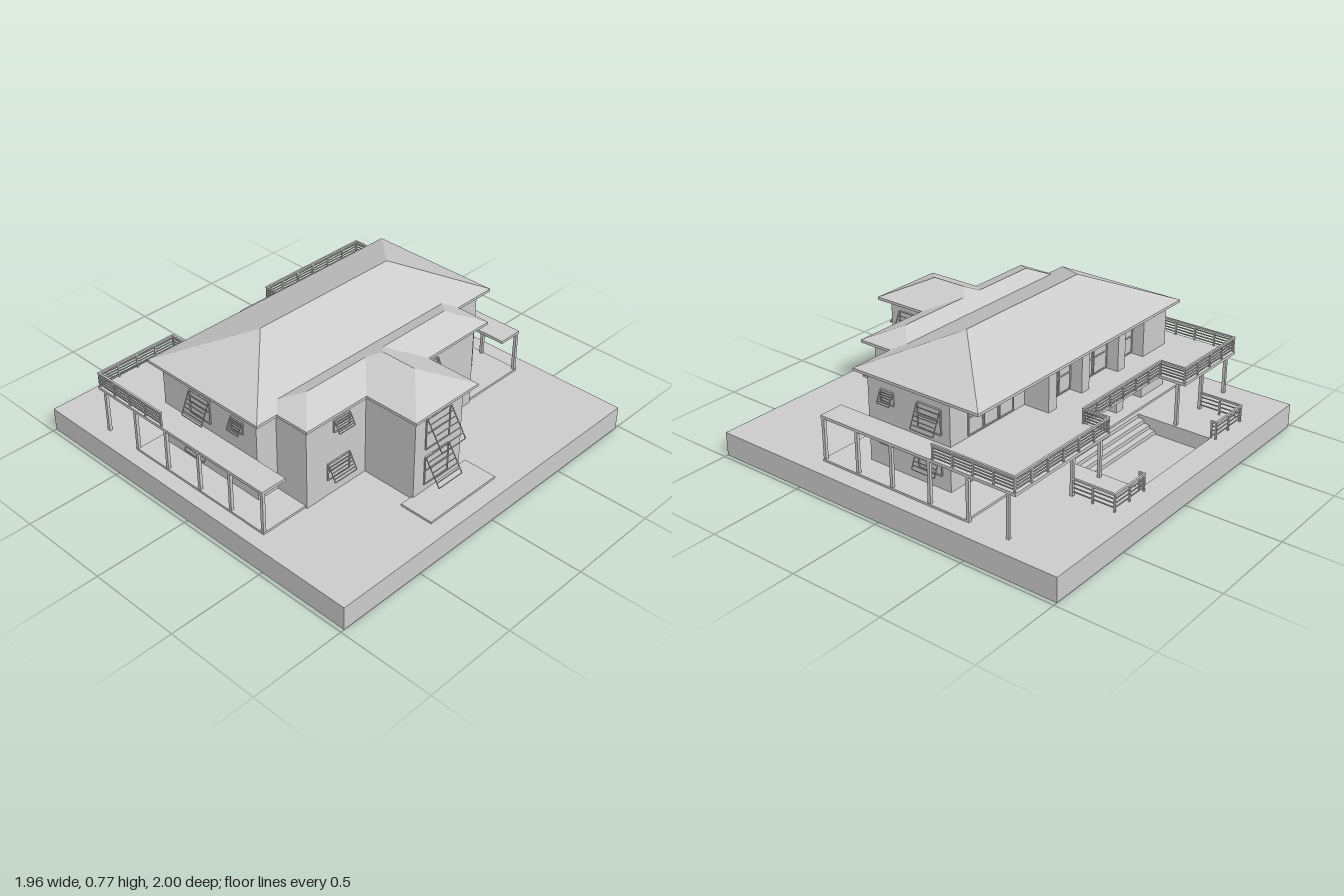
import * as THREE from 'three';

const mat = new THREE.MeshStandardMaterial({ color: 0xcccccc, flatShading: true, side: THREE.DoubleSide });

// Box given by its min and max along each axis
function box(parent, name, x0, x1, y0, y1, z0, z1) {
  const m = new THREE.Mesh(new THREE.BoxGeometry(x1 - x0, y1 - y0, z1 - z0), mat);
  m.position.set((x0 + x1) / 2, (y0 + y1) / 2, (z0 + z1) / 2);
  m.name = name;
  parent.add(m);
  return m;
}

// Flat slab from an [x, z] outline, with an optional hole
function slab(parent, name, pts, y0, y1, hole) {
  const toV = p => new THREE.Vector2(p[0], -p[1]);
  const shape = new THREE.Shape(pts.map(toV));
  if (hole) shape.holes.push(new THREE.Path(hole.map(toV)));
  const geo = new THREE.ExtrudeGeometry(shape, { depth: y1 - y0, bevelEnabled: false });
  geo.rotateX(-Math.PI / 2).translate(0, y0, 0);
  const m = new THREE.Mesh(geo, mat);
  m.name = name;
  parent.add(m);
}

const rect = (x0, x1, z0, z1) => [[x0, z0], [x1, z0], [x1, z1], [x0, z1]];

// Hip roof over a rectangular eave, ridge running between points r0 and r1 ([x, z])
function hipRoof(parent, name, x0, x1, z0, z1, yEave, yRidge, r0, r1) {
  const g = new THREE.Group();
  g.name = name;
  box(g, 'eave', x0, x1, yEave - 0.014, yEave, z0, z1);
  const A = [x0, yEave, z0], B = [x1, yEave, z0], C = [x1, yEave, z1], D = [x0, yEave, z1];
  const P = [r0[0], yRidge, r0[1]], Q = [r1[0], yRidge, r1[1]];
  const alongX = r0[1] === r1[1];
  const tris = alongX
    ? [D, C, Q, D, Q, P, B, A, P, B, P, Q, A, D, P, C, B, Q]
    : [B, A, P, D, C, Q, A, D, Q, A, Q, P, C, B, P, C, P, Q];
  const geo = new THREE.BufferGeometry();
  geo.setAttribute('position', new THREE.Float32BufferAttribute(tris.flat(), 3));
  geo.computeVertexNormals();
  const m = new THREE.Mesh(geo, mat);
  m.name = 'slopes';
  g.add(m);
  parent.add(g);
}

// Rectangular frame with cross bars, facing local +z, top edge at the origin
function frame(parent, name, w, h, bars, t = 0.006) {
  const g = new THREE.Group();
  g.name = name;
  for (const s of [-1, 1]) box(g, 'stile', s * w / 2 - t / 2, s * w / 2 + t / 2, -h, 0, 0, t);
  for (let i = 0; i <= bars; i++) {
    const y = -h * i / bars;
    box(g, 'bar', -w / 2, w / 2, y - t / 2, y + t / 2, 0, t);
  }
  parent.add(g);
  return g;
}

// Window on a wall; tilt > 0 adds a sash hinged at the top and swung outward
function win(parent, x, yTop, z, w, h, rotY, tilt = 0) {
  const g = new THREE.Group();
  g.name = 'window';
  g.position.set(x, yTop, z);
  g.rotation.y = rotY;
  frame(g, 'windowFrame', w, h, h > 0.05 ? 2 : 1);
  box(g, 'pane', -w / 2, w / 2, -h, 0, -0.004, 0.002);
  if (tilt) {
    const sash = frame(g, 'openSash', w, h, 6, 0.004);
    sash.rotation.x = -tilt;
    sash.position.z = 0.006;
  }
  parent.add(g);
}

// Railing along [x, z] points: posts plus horizontal rails
function railing(parent, name, pts, y0, y1, rails) {
  const g = new THREE.Group();
  g.name = name;
  for (let k = 0; k + 1 < pts.length; k++) {
    const [ax, az] = pts[k], [bx, bz] = pts[k + 1];
    const len = Math.hypot(bx - ax, bz - az), n = Math.max(1, Math.round(len / 0.115));
    for (let i = 0; i <= n; i++) {
      const x = ax + (bx - ax) * i / n, z = az + (bz - az) * i / n;
      box(g, 'post', x - 0.004, x + 0.004, y0, y1, z - 0.004, z + 0.004);
    }
    for (let i = 1; i <= rails; i++) {
      const y = y0 + (y1 - y0) * i / rails, t = i === rails ? 0.005 : 0.0025;
      box(g, 'rail', Math.min(ax, bx) - t, Math.max(ax, bx) + t, y - t, y + t, Math.min(az, bz) - t, Math.max(az, bz) + t);
    }
  }
  parent.add(g);
}

export function createModel() {
  const house = new THREE.Group();
  house.name = 'house';

  // Ground block with a sunken pool and steps
  box(house, 'groundBase', -0.98, 0.98, 0, 0.045, -1, 1);
  slab(house, 'ground', rect(-0.98, 0.98, -1, 1), 0.045, 0.125, rect(-0.42, 0.18, -0.87, -0.46));
  for (let i = 0; i < 3; i++)
    box(house, 'poolStep', -0.42, 0.18, 0.045, 0.065 + i * 0.02, -0.56 + i * 0.033, -0.46);

  // Paving and entrance pad
  box(house, 'paving', -0.9, 0.885, 0.125, 0.136, -0.44, 0.43);
  box(house, 'entrancePad', -0.33, 0.12, 0.125, 0.136, 0.73, 0.91);

  // Walls
  box(house, 'mainWalls', -0.76, 0.75, 0.125, 0.595, -0.24, 0.25);
  box(house, 'rearRooms', -0.76, 0.22, 0.125, 0.595, -0.31, -0.24);
  box(house, 'wingWalls', -0.64, 0.5, 0.125, 0.595, 0.2, 0.44);
  box(house, 'towerWalls', -0.26, 0.06, 0.125, 0.595, 0.4, 0.74);

  // Rear piers framing recessed glazed doors on both floors
  const piers = [[-0.76, -0.56], [-0.40, -0.34], [-0.10, -0.04], [0.16, 0.22]];
  for (const [y0, y1] of [[0.125, 0.35], [0.365, 0.595]]) {
    piers.forEach(([a, b]) => box(house, 'pier', a, b, y0, y1, -0.38, -0.31));
    for (let i = 0; i < 3; i++) {
      const a = piers[i][1], b = piers[i + 1][0], w = b - a;
      for (const s of [-1, 1]) win(house, (a + b) / 2 + s * w / 4, y1 - 0.045, -0.311, w / 2 - 0.012, y1 - y0 - 0.055, Math.PI);
    }
    box(house, 'lintel', -0.76, 0.22, y1 - 0.03, y1, -0.38, -0.31);
    for (const x of [0.36, 0.47, 0.58])
      win(house, x, y1 - 0.045, -0.241, 0.1, y1 - y0 - 0.055, Math.PI);
  }

  // Roofs
  hipRoof(house, 'mainRoof', -0.805, 0.785, -0.43, 0.305, 0.605, 0.77, [-0.43, -0.063], [0.42, -0.063]);
  hipRoof(house, 'wingRoof', -0.685, 0.54, 0.19, 0.49, 0.605, 0.67, [-0.535, 0.34], [0.39, 0.34]);
  hipRoof(house, 'towerRoof', -0.31, 0.11, 0.19, 0.785, 0.605, 0.695, [-0.1, 0.395], [-0.1, 0.585]);

  // Front windows
  win(house, -0.11, 0.545, 0.741, 0.16, 0.17, 0, 0.57);
  win(house, -0.11, 0.33, 0.741, 0.16, 0.155, 0, 0.57);
  win(house, -0.42, 0.53, 0.441, 0.1, 0.065, 0, 0.5);
  win(house, -0.44, 0.305, 0.441, 0.14, 0.09, 0, 0.5);
  win(house, 0.205, 0.53, 0.441, 0.05, 0.08, 0, 0.5);
  win(house, 0.225, 0.3, 0.441, 0.05, 0.04, 0, 0.5);
  win(house, 0.59, 0.525, 0.251, 0.08, 0.035, 0);
  win(house, 0.59, 0.305, 0.251, 0.08, 0.03, 0);

  // Side windows, alike on both ends
  for (const s of [-1, 1]) {
    const x = s > 0 ? 0.751 : -0.761, r = s * Math.PI / 2;
    win(house, x, 0.53, 0.128, 0.075, 0.065, r, 0.4);
    win(house, x, 0.305, 0.128, 0.075, 0.045, r, 0.4);
    win(house, x, 0.535, -0.122, 0.135, 0.125, r, 0.4);
    win(house, x, 0.325, -0.122, 0.135, 0.12, r, 0.4);
  }
  win(house, 0.061, 0.54, 0.585, 0.19, 0.13, Math.PI / 2, 0.48);

  // Entrance door on the tower side
  const door = new THREE.Group();
  door.name = 'entranceDoor';
  box(door, 'leaf', 0.06, 0.066, 0.136, 0.33, 0.495, 0.588);
  box(door, 'leaf', 0.06, 0.066, 0.136, 0.33, 0.596, 0.69);
  for (const z of [0.578, 0.606]) box(door, 'handle', 0.066, 0.072, 0.21, 0.25, z - 0.003, z + 0.003);
  house.add(door);

  // Upper deck wrapping the sides and the back
  slab(house, 'upperDeck', [
    [-0.9, 0.43], [-0.9, -0.71], [-0.43, -0.71], [-0.43, -0.56], [0.2, -0.56], [0.2, -0.71],
    [0.885, -0.71], [0.885, 0.43], [0.75, 0.43], [0.75, -0.2], [-0.76, -0.2], [-0.76, 0.43]
  ], 0.35, 0.365);
  railing(house, 'deckRailing', [
    [-0.893, -0.25], [-0.893, -0.703], [-0.435, -0.703], [-0.435, -0.565], [0.205, -0.565],
    [0.205, -0.703], [0.88, -0.703], [0.88, -0.25]
  ], 0.365, 0.44, 5);

  // Deck columns
  const column = (x, z) => box(house, 'column', x - 0.008, x + 0.008, 0.125, 0.35, z - 0.008, z + 0.008);
  for (const x of [-0.89, 0.875]) for (const z of [0.42, 0.21, 0, -0.225, -0.445, -0.665]) column(x, z);
  for (const x of [-0.66, -0.44, 0.21, 0.42]) column(x, -0.665);

  // Low railings beside the pool
  railing(house, 'poolRailing', [[-0.66, -0.66], [-0.66, -0.895], [-0.43, -0.895], [-0.43, -0.87]], 0.125, 0.212, 4);
  railing(house, 'poolRailing', [[0.19, -0.87], [0.19, -0.895], [0.42, -0.895], [0.42, -0.66]], 0.125, 0.212, 4);

  return house;
}
